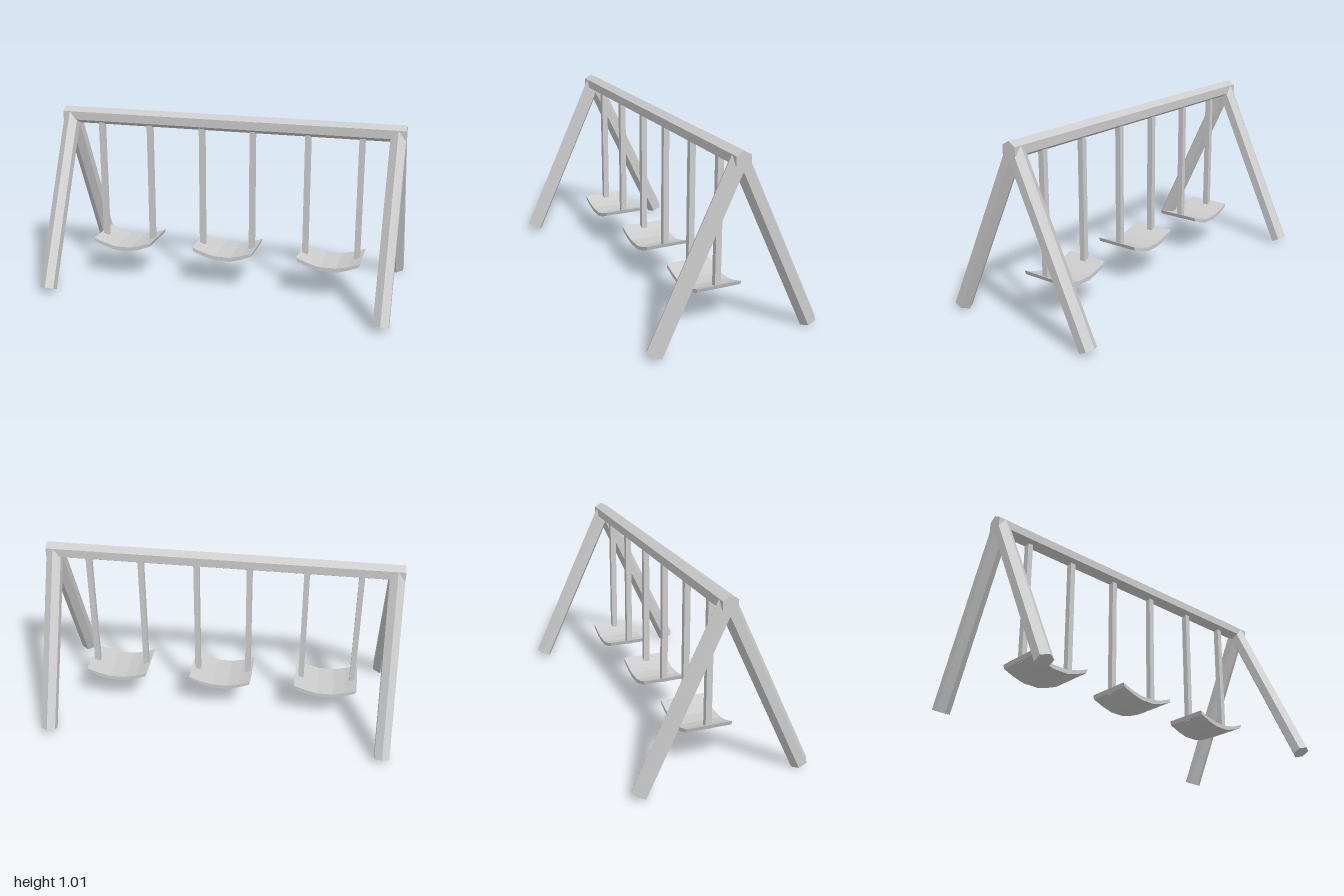
import * as THREE from 'three';

const material = new THREE.MeshStandardMaterial({ color: 0xcccccc, flatShading: true });
const R = 0.048;            // hexagonal beam radius, corner to centre
const TOP = 0.966;          // height of the beam axis
const FLAT = R * Math.cos(Math.PI / 6);

function addMesh(parent, geometry, name) {
  const mesh = new THREE.Mesh(geometry, material);
  mesh.name = name;
  parent.add(mesh);
  return mesh;
}

// Curved seat plank: bent cross-section extruded front to back
function seatGeometry() {
  const upper = [[0.181, 0.243], [0.112, 0.217], [0.046, 0.201]];
  const lower = [[0.173, 0.22], [0.107, 0.194], [0.044, 0.177]];
  const mirror = (points) => points.map(([x, y]) => [-x, y]);
  const outline = [
    ...mirror(lower), ...[...lower].reverse(),
    ...upper, ...mirror(upper).reverse(),
  ];
  const shape = new THREE.Shape(outline.map(([x, y]) => new THREE.Vector2(x, y)));
  const depth = 0.256;
  return new THREE.ExtrudeGeometry(shape, { depth, bevelEnabled: false }).translate(0, 0, -depth / 2);
}

export function createModel() {
  const model = new THREE.Group();
  model.name = 'swingSet';

  // Top beam, corners pointing up and down
  const beam = new THREE.CylinderGeometry(R, R, 2, 6).rotateZ(Math.PI / 2).rotateX(Math.PI / 2);
  // A corner must lie on the vertical axis
  beam.computeBoundingBox();
  if (beam.boundingBox.max.y < R - 1e-4) beam.rotateX(Math.PI / 2);
  addMesh(model, beam, 'topBeam').position.y = TOP;

  // Four splayed legs meeting on the beam axis
  const footZ = 0.443, footY = 0.025;
  const length = Math.hypot(footZ, TOP - footY);
  const tilt = Math.atan2(footZ, TOP - footY);
  const legGeometry = new THREE.CylinderGeometry(R, R, length, 6);
  for (const sx of [-1, 1]) {
    for (const sz of [-1, 1]) {
      const name = (sz > 0 ? 'front' : 'back') + (sx > 0 ? 'Left' : 'Right') + 'Leg';
      const leg = addMesh(model, legGeometry, name);
      leg.position.set(sx * (1 - FLAT), (TOP + footY) / 2, sz * footZ / 2);
      leg.rotation.x = -sz * tilt;
    }
  }

  // Three swings, each a seat on two hangers
  const seat = seatGeometry();
  const hangerBottom = 0.215;
  const hanger = new THREE.BoxGeometry(0.031, TOP - hangerBottom, 0.034);
  ['rightSwing', 'middleSwing', 'leftSwing'].forEach((name, i) => {
    const swing = new THREE.Group();
    swing.name = name;
    swing.position.x = (i - 1) * 0.618;
    addMesh(swing, seat, 'seat');
    for (const s of [-1, 1]) {
      addMesh(swing, hanger, 'hanger').position.set(s * 0.15 - 0.003, (TOP + hangerBottom) / 2, 0);
    }
    model.add(swing);
  });

  return model;
}
